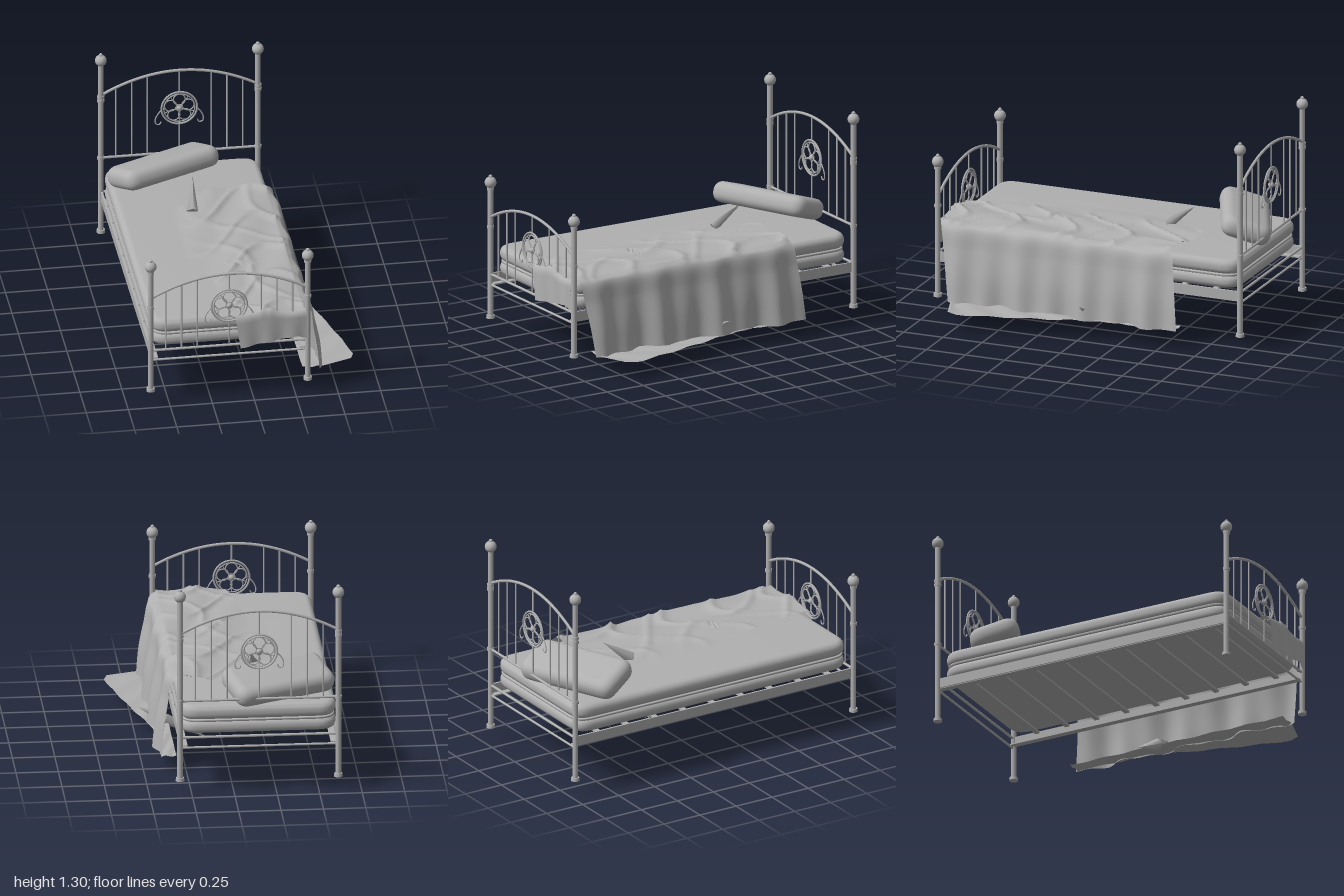
import * as THREE from 'three';
import { toCreasedNormals } from 'three/addons/utils/BufferGeometryUtils.js';

const V = (x, y, z) => new THREE.Vector3(x, y, z);
const grey = new THREE.MeshStandardMaterial({ color: 0xb0b0b0 });
grey.name = 'plain grey';
grey.side = THREE.DoubleSide;

const CX = -0.145, HALF = 0.467, END = 0.965;

function add(parent, name, geo, x = 0, y = 0, z = 0) {
  const m = new THREE.Mesh(geo, grey);
  m.name = name;
  m.position.set(x, y, z);
  parent.add(m);
  return m;
}

// straight round bar between two points
function bar(parent, name, a, b, r) {
  const m = add(parent, name, new THREE.CylinderGeometry(r, r, a.distanceTo(b), 10));
  m.position.copy(a).lerp(b, 0.5);
  m.quaternion.setFromUnitVectors(V(0, 1, 0), b.clone().sub(a).normalize());
}

function tube(parent, name, pts, r, n = 24) {
  return add(parent, name, new THREE.TubeGeometry(new THREE.CatmullRomCurve3(pts), n, r, 8));
}

// cushion: rounded rectangle with soft top and bottom edges, base at y = 0
function cushion(w, h, d, corner, soft) {
  const s = new THREE.Shape(), x = w / 2, y = d / 2, c = corner;
  s.moveTo(-x + c, -y).lineTo(x - c, -y).quadraticCurveTo(x, -y, x, -y + c);
  s.lineTo(x, y - c).quadraticCurveTo(x, y, x - c, y);
  s.lineTo(-x + c, y).quadraticCurveTo(-x, y, -x, y - c);
  s.lineTo(-x, -y + c).quadraticCurveTo(-x, -y, -x + c, -y);
  const g = new THREE.ExtrudeGeometry(s, {
    depth: h - 2 * soft, bevelThickness: soft, bevelSize: soft, bevelOffset: -soft,
    bevelSegments: 6, curveSegments: 8,
  });
  g.translate(0, 0, soft).rotateX(-Math.PI / 2);
  return toCreasedNormals(g, 0.7);
}

// cloth sheet: f(u, v) gives each point, v runs from the first row onward
function sheet(nu, nv, f) {
  const g = new THREE.PlaneGeometry(1, 1, nu, nv), p = g.attributes.position, uv = g.attributes.uv;
  for (let i = 0; i < p.count; i++) {
    const q = f(uv.getX(i), 1 - uv.getY(i));
    p.setXYZ(i, q.x, q.y, q.z);
  }
  g.computeVertexNormals();
  return g;
}

// piecewise linear lookup through [key, value] pairs
function steps(pairs, k) {
  if (k <= pairs[0][0]) return pairs[0][1];
  for (let i = 1; i < pairs.length; i++) {
    const [a, va] = pairs[i - 1], [b, vb] = pairs[i];
    if (k <= b) return va + (vb - va) * (k - a) / (b - a);
  }
  return pairs[pairs.length - 1][1];
}

// turned post with foot, collars, ball and finial tip
function post(parent, x, z, ballY, collars) {
  const g = new THREE.Group();
  g.name = 'bedPost';
  g.position.set(x, 0, z);
  parent.add(g);
  add(g, 'postShaft', new THREE.CylinderGeometry(0.017, 0.017, ballY - 0.1, 16), 0, (ballY + 0.1) / 2);
  add(g, 'postFoot', new THREE.CylinderGeometry(0.024, 0.026, 0.02, 16), 0, 0.11);
  for (const y of collars) add(g, 'postCollar', new THREE.CylinderGeometry(0.021, 0.021, 0.018, 16), 0, y);
  add(g, 'postBall', new THREE.SphereGeometry(0.035, 20, 14), 0, ballY);
  add(g, 'finialTip', new THREE.SphereGeometry(0.012, 12, 8), 0, ballY + 0.036);
}

// round tracery medallion with side scrolls
function medallion(parent, y) {
  const g = new THREE.Group();
  g.name = 'medallion';
  g.position.set(CX, y, 0);
  parent.add(g);
  add(g, 'outerRing', new THREE.TorusGeometry(0.106, 0.006, 8, 40));
  add(g, 'innerRing', new THREE.TorusGeometry(0.092, 0.004, 8, 40));
  add(g, 'centreBoss', new THREE.SphereGeometry(0.018, 14, 10));
  for (let i = 0; i < 5; i++) {
    const a = Math.PI / 2 + i * Math.PI * 0.4, b = a + Math.PI / 5;
    add(g, 'petalRing', new THREE.TorusGeometry(0.036, 0.004, 6, 24), 0.055 * Math.cos(a), 0.055 * Math.sin(a));
    bar(g, 'petalSpoke', V(0, 0, 0), V(0.092 * Math.cos(b), 0.092 * Math.sin(b), 0), 0.003);
  }
  for (const s of [-1, 1]) {
    tube(g, 'scroll', [[0.108, -0.01], [0.128, -0.035], [0.143, -0.07], [0.138, -0.098], [0.118, -0.102], [0.108, -0.085]]
      .map(([x, yy]) => V(s * x, yy, 0)), 0.004);
  }
}

// one end of the frame
function endPanel(parent, name, z, springY, rise, baseY, medY, ballY, collars) {
  const g = new THREE.Group();
  g.name = name;
  g.position.z = z;
  parent.add(g);
  const archY = dx => springY + rise * (1 - (dx / HALF) ** 2);
  const pts = [];
  for (let i = 0; i <= 12; i++) {
    const dx = -HALF + HALF * i / 6;
    pts.push(V(CX + dx, archY(dx), 0));
  }
  tube(g, 'archRail', pts, 0.009, 40);
  for (const dx of [0.19, 0.283, 0.377]) for (const s of [-1, 1])
    bar(g, 'spindle', V(CX + s * dx, baseY, 0), V(CX + s * dx, archY(dx), 0), 0.005);
  bar(g, 'upperCentreSpindle', V(CX, medY + 0.1, 0), V(CX, archY(0), 0), 0.005);
  bar(g, 'lowerCentreSpindle', V(CX, baseY, 0), V(CX, medY - 0.1, 0), 0.005);
  for (const [y, r] of [[baseY, 0.008], [0.37, 0.008], [0.306, 0.007]])
    bar(g, 'crossRail', V(CX - HALF, y, 0), V(CX + HALF, y, 0), r);
  medallion(g, medY);
  for (const s of [-1, 1]) post(g, CX + s * HALF, 0, ballY, collars);
}

const LEFT_EDGE = [[-0.36, -0.35], [-0.05, -0.31], [0.43, -0.41], [0.455, -0.2], [0.75, -0.15], [0.96, -0.11]];
const HEAD_EDGE = [[-0.25, -0.36], [-0.2, -0.42], [-0.06, -0.57], [0.31, -0.525]];
const ridge = t => 1 - Math.abs(Math.sin(t));

// rumpled height of the blanket over the mattress
function rumple(x, z) {
  const w = Math.min(1, Math.max(0, (x + 0.28) / 0.25));
  const r = ridge(z * 9 + x * 5 + Math.sin(x * 11)) ** 4 + 0.8 * ridge(z * 6 - x * 8 + 1 + Math.sin(z * 7)) ** 5;
  return 0.558 + w * (0.012 + 0.02 * r + 0.007 * Math.sin(x * 19 + z * 7));
}

function blanket(parent) {
  const g = new THREE.Group();
  g.name = 'blanket';
  parent.add(g);
  // top and hanging side in one sheet
  const side = new THREE.CatmullRomCurve3([V(0.3, 0.57, 0), V(0.345, 0.545, 0), V(0.368, 0.42, 0), V(0.392, 0.27, 0), V(0.405, 0.105, 0)]);
  const split = 0.6;
  add(g, 'blanketDrape', sheet(70, 90, (u, v) => {
    if (u <= split) {
      const xl = steps(LEFT_EDGE, -0.36 + 1.315 * v);
      const x = xl + (0.3 - xl) * u / split;
      const z0 = steps(HEAD_EDGE, x), z = z0 + (0.955 - z0) * v;
      return V(x, rumple(x, z), z);
    }
    const t = (u - split) / (1 - split), p = side.getPoint(t);
    const z0 = -0.525 - 0.065 * t, z = z0 + (0.955 - 0.09 * t - z0) * v;
    const fold = 0.022 * Math.sin(z * 16 + 2 * t) + 0.014 * Math.sin(z * 31 + 1);
    const blend = Math.max(0, 1 - t * 4);
    return V(p.x + t * fold, p.y + blend * (rumple(0.3, z) - 0.57), z);
  }));
  // flap hanging over the foot rail
  add(g, 'footFlap', sheet(24, 14, (u, v) => {
    const x = -0.11 + 0.425 * u, low = steps([[0, 0.35], [0.35, 0.375], [0.85, 0.405], [1, 0.38]], u);
    const over = Math.min(1, v * 4), drop = Math.max(0, (v - 0.15) / 0.85);
    const top = rumple(x, 0.955);
    return V(x + 0.03 * drop * (1 - u), top + (low - top) * drop, 0.953 + 0.032 * over + 0.006 * Math.sin(u * 18) * drop);
  }));
  // corner spread out on the floor
  add(g, 'floorCorner', sheet(12, 24, (u, v) => {
    const z = -0.58 + 1.42 * v;
    const edge = steps([[-0.58, 0.4], [-0.1, 0.41], [0.2, 0.5], [0.5, 0.58], [0.77, 0.64], [0.84, 0.43]], z);
    const x = 0.31 + (edge - 0.31) * u;
    return V(x, 0.106 + 0.008 * Math.sin(z * 13 + u * 4) ** 2, z);
  }));
  // stray pulled points of cloth
  const spike = (a, b, r) => {
    const m = add(g, 'pulledPoint', new THREE.ConeGeometry(r, a.distanceTo(b), 4));
    m.position.copy(a).lerp(b, 0.5);
    m.quaternion.setFromUnitVectors(V(0, 1, 0), b.clone().sub(a).normalize());
  };
  spike(V(0.33, 0.125, 0), V(0.08, 0.003, 0), 0.036);
  spike(V(0.38, 0.155, 0), V(0.49, 0.21, -0.01), 0.025);
  spike(V(-0.17, 0.57, -0.3), V(-0.14, 0.7, -0.48), 0.035);
}

export function createModel() {
  const bed = new THREE.Group();
  bed.name = 'bed';
  endPanel(bed, 'headboard', -END, 1.02, 0.13, 0.6, 0.897, 1.255, [1.01, 0.6, 0.985]);
  endPanel(bed, 'footboard', END, 0.72, 0.128, 0.37, 0.635, 0.933, [0.66, 0.985 - 0.09]);

  // angle-section side rails and slats
  for (const s of [-1, 1]) {
    add(bed, 'sideRail', new THREE.BoxGeometry(0.012, 0.06, 2 * END), CX + s * (HALF - 0.004), 0.347, 0);
    add(bed, 'railFlange', new THREE.BoxGeometry(0.04, 0.008, 2 * END), CX + s * (HALF - 0.025), 0.317, 0);
  }
  for (let i = 0; i < 9; i++)
    add(bed, 'slat', new THREE.BoxGeometry(2 * HALF - 0.01, 0.012, 0.03), CX, 0.37, -0.8 + i * 0.2);

  // mattress in two layers with a piped seam
  add(bed, 'mattressBase', cushion(0.92, 0.08, 1.89, 0.11, 0.035), CX, 0.378, 0);
  add(bed, 'mattressSeam', cushion(0.91, 0.016, 1.88, 0.11, 0.006), CX, 0.452, 0);
  add(bed, 'mattressTop', cushion(0.92, 0.09, 1.89, 0.11, 0.038), CX, 0.462, 0);

  // pillow, turned and propped up at its front edge
  const pillow = add(bed, 'pillow', cushion(0.65, 0.125, 0.3, 0.08, 0.055).translate(0, -0.0625, 0), -0.275, 0.636, -0.745);
  pillow.rotation.set(-0.33, 0.42, 0, 'YXZ');

  blanket(bed);
  return bed;
}
